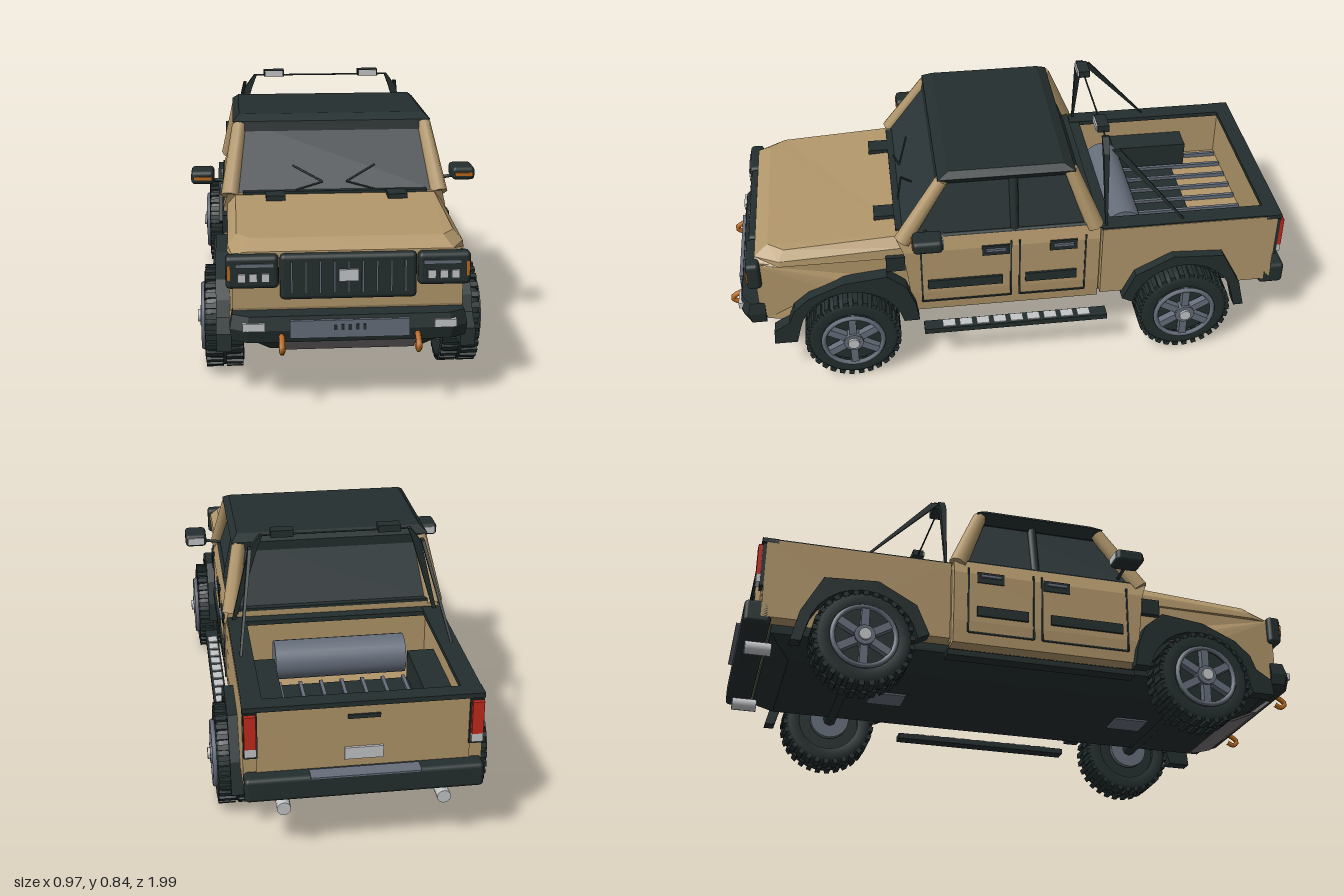
import * as THREE from 'three';
import { RoundedBoxGeometry } from 'three/addons/geometries/RoundedBoxGeometry.js';

const mat = (name, color) => Object.assign(new THREE.MeshStandardMaterial({ color }), { name });
const tan = mat('tanPaint', 0xb2976b), black = mat('blackTrim', 0x242e2e), glass = mat('darkGlass', 0x2b3538),
  steel = mat('blueSteel', 0x666e7b), silver = mat('silver', 0xc4c6c8), orange = mat('orange', 0xb8691f),
  red = mat('redLamp', 0xc42a1d), gun = mat('skidGrey', 0x787476);
const SIDES = [1, -1];

export function createModel() {
  const model = new THREE.Group();
  model.name = 'pickupTruck';
  const add = (name, geo, m, parent = model) => {
    const mesh = new THREE.Mesh(geo, m);
    mesh.name = name;
    parent.add(mesh);
    return mesh;
  };
  // box from its min and max on each axis, and one with rounded corners
  const box = (name, m, x0, x1, y0, y1, z0, z1) => add(name, new THREE.BoxGeometry(Math.abs(x1 - x0), y1 - y0, z1 - z0)
    .translate((x0 + x1) / 2, (y0 + y1) / 2, (z0 + z1) / 2), m);
  const softBox = (name, m, x0, x1, y0, y1, z0, z1) => add(name, new RoundedBoxGeometry(Math.abs(x1 - x0), y1 - y0, z1 - z0, 2, 0.014)
    .translate((x0 + x1) / 2, (y0 + y1) / 2, (z0 + z1) / 2), m);
  // same box on both sides of the truck
  const pair = (name, m, x0, x1, ...rest) => SIDES.forEach(s => box(name, m, s * x0, s * x1, ...rest));
  // closed flat-shaded loft through rings of points
  const loft = (name, m, rings) => {
    const n = rings[0].length, p = rings.flat(), idx = [], last = (rings.length - 1) * n;
    for (let r = 0; r < rings.length - 1; r++) for (let i = 0; i < n; i++) {
      const a = r * n + i, b = r * n + (i + 1) % n;
      idx.push(a, b, b + n, a, b + n, a + n);
    }
    for (let i = 1; i < n - 1; i++) idx.push(0, i + 1, i, last, last + i, last + i + 1);
    let vol = 0;
    for (let i = 0; i < idx.length; i += 3) {
      const [a, b, c] = [0, 1, 2].map(k => new THREE.Vector3(...p[idx[i + k]]));
      vol += a.dot(b.cross(c));
    }
    if (vol < 0) idx.reverse();
    let g = new THREE.BufferGeometry();
    g.setAttribute('position', new THREE.Float32BufferAttribute(p.flat(), 3));
    g.setIndex(idx);
    g = g.toNonIndexed();
    g.computeVertexNormals();
    return add(name, g, m);
  };
  const rect = (y, x, zf, zb, yb = y) => [[x, y, zf], [-x, y, zf], [-x, yb, zb], [x, yb, zb]];
  // side profile of [z, y] points extruded across x
  const profile = (pts, x0, x1) => {
    const shape = new THREE.Shape(pts.map(q => new THREE.Vector2(...q)));
    return new THREE.ExtrudeGeometry(shape, { depth: Math.abs(x1 - x0), bevelEnabled: false })
      .rotateY(-Math.PI / 2).translate(Math.max(x0, x1), 0, 0);
  };
  // wheel arch points, running from the rear foot over to the front foot
  const arch = (zc, r, y0) => {
    const a0 = Math.asin((y0 - 0.167) / r);
    return Array.from({ length: 13 }, (_, i) => {
      const a = Math.PI - a0 - (Math.PI - 2 * a0) * i / 12;
      return [zc + r * Math.cos(a), 0.167 + r * Math.sin(a)];
    });
  };
  // round bar between two points
  const bar = (name, m, a, b, r0, r1 = r0, seg = 8) => {
    const A = new THREE.Vector3(...a), B = new THREE.Vector3(...b), d = B.clone().sub(A);
    const mesh = add(name, new THREE.CylinderGeometry(r1, r0, d.length(), seg), m);
    mesh.position.copy(A).add(B).multiplyScalar(0.5);
    mesh.quaternion.setFromUnitVectors(new THREE.Vector3(0, 1, 0), d.normalize());
    return mesh;
  };
  const FZ = 0.57, RZ = -0.605;

  // front body with wheel arches, narrowing at the nose
  const nose = profile([[-0.28, 0.22], ...arch(FZ, 0.195, 0.22), [0.86, 0.22], [0.885, 0.3], [0.885, 0.46], [-0.28, 0.46]], -0.365, 0.365);
  const np = nose.attributes.position;
  for (let i = 0; i < np.count; i++) if (np.getZ(i) > 0.85) np.setX(i, np.getX(i) * 0.96);
  nose.computeVertexNormals();
  add('frontBody', nose, tan);
  const hoodRing = (x, xf, y, yb, zm, zf) => [[x, yb, 0.36], [x, y, zm], [xf, y, zf], [-xf, y, zf], [-x, y, zm], [-x, yb, 0.36]];
  loft('hood', tan, [hoodRing(0.365, 0.345, 0.455, 0.455, 0.8, 0.885), hoodRing(0.362, 0.32, 0.475, 0.495, 0.8, 0.882),
    hoodRing(0.335, 0.295, 0.505, 0.53, 0.78, 0.835)]);
  box('engineBay', black, -0.31, 0.31, 0.2, 0.45, 0.34, 0.8);
  // sloping underbody
  loft('underbody', black, [rect(0.235, 0.315, 0.87, -0.89), rect(0.2, 0.315, 0.87, -0.89), rect(0.147, 0.235, 0.83, -0.82)]);
  [0.45, -0.45].forEach(z => box('underbodyPlate', steel, -0.05, 0.05, 0.141, 0.148, z - 0.06, z + 0.06));

  // cab
  loft('cabBody', tan, [rect(0.22, 0.37, 0.36, -0.3), rect(0.3, 0.376, 0.36, -0.3), rect(0.48, 0.376, 0.38, -0.3), rect(0.53, 0.362, 0.4, -0.3)]);
  loft('cabGlass', glass, [rect(0.525, 0.352, 0.385, -0.285), rect(0.745, 0.3, 0.235, -0.195)]);
  loft('roof', black, [rect(0.715, 0.312, 0.258, -0.21), rect(0.748, 0.34, 0.252, -0.212), rect(0.768, 0.318, 0.215, -0.175)]);
  box('cowl', black, -0.31, 0.31, 0.525, 0.537, 0.365, 0.4);
  box('rearWindowSill', black, -0.33, 0.33, 0.525, 0.54, -0.3, -0.27);
  for (const s of SIDES) {
    bar('frontPillar', tan, [s * 0.353, 0.52, 0.38], [s * 0.318, 0.735, 0.238], 0.031, 0.024);
    bar('rearPillar', tan, [s * 0.353, 0.52, -0.285], [s * 0.314, 0.74, -0.199], 0.031, 0.024);
    bar('middlePillar', black, [s * 0.348, 0.52, -0.005], [s * 0.302, 0.74, -0.005], 0.016);
    bar('windowSill', black, [s * 0.354, 0.53, 0.35], [s * 0.354, 0.53, -0.26], 0.008);
    bar('wiper', black, [s * 0.14, 0.535, 0.382], [s * 0.04, 0.56, 0.364], 0.003);
    bar('wiper', black, [s * 0.04, 0.56, 0.364], [s * 0.14, 0.61, 0.331], 0.003);
    // mirror
    bar('mirrorArm', black, [s * 0.35, 0.55, 0.3], [s * 0.42, 0.56, 0.3], 0.006);
    softBox('mirror', black, s * 0.405, s * 0.483, 0.552, 0.598, 0.25, 0.35);
    box('mirrorIndicator', orange, s * 0.414, s * 0.474, 0.568, 0.579, 0.346, 0.353);
    box('mirrorGlass', silver, s * 0.415, s * 0.473, 0.562, 0.588, 0.247, 0.252);
  }
  // doors
  const doors = [[0.01, 0.32, 0.04, 0.3], [-0.25, -0.02, -0.22, -0.04]];
  for (const [z0, z1, m0, m1] of doors) {
    for (const z of [z0, z1]) pair('doorGap', black, 0.373, 0.379, 0.26, 0.5, z - 0.003, z + 0.003);
    pair('doorBottomGap', black, 0.37, 0.377, 0.257, 0.263, z0, z1);
    pair('doorMoulding', black, 0.373, 0.384, 0.32, 0.356, m0, m1);
    const h = z0 > 0 ? 0.015 : -0.22;
    pair('handleRecess', black, 0.373, 0.38, 0.447, 0.487, h, h + 0.095);
    pair('doorHandle', steel, 0.38, 0.388, 0.466, 0.476, h + 0.012, h + 0.083);
  }
  pair('fenderVent', black, 0.36, 0.38, 0.41, 0.468, 0.375, 0.44);
  pair('hoodHinge', black, 0.17, 0.235, 0.515, 0.54, 0.4, 0.47);

  // load bed
  const slice = (x, y, z, w, d) => [[x - w, y, z - d], [x + w, y, z - d], [x + w, y, z + d], [x - w, y, z + d]];
  for (const s of SIDES) {
    add('bedSide', profile([[-0.93, 0.23], ...arch(RZ, 0.195, 0.23), [-0.31, 0.23], [-0.31, 0.51], [-0.93, 0.51]], s * 0.315, s * 0.37), tan);
    box('bedRail', black, s * 0.305, s * 0.368, 0.499, 0.515, -0.935, -0.31);
    box('wheelTub', black, s * 0.225, s * 0.315, 0.32, 0.43, -0.75, -0.47);
    // tail lamps
    box('lampFrame', black, s * 0.325, s * 0.368, 0.34, 0.495, -0.942, -0.92);
    box('tailLamp', red, s * 0.33, s * 0.366, 0.38, 0.49, -0.956, -0.94);
    box('reverseLamp', silver, s * 0.33, s * 0.366, 0.352, 0.38, -0.955, -0.94);
    // bed struts and spotlights
    loft('lightBarPost', black, [slice(s * 0.35, 0.5, -0.325, 0.006, 0.003), slice(s * 0.277, 0.77, -0.325, 0.014, 0.01), slice(s * 0.25, 0.818, -0.325, 0.005, 0.012)]);
    loft('lightBarBrace', black, [slice(s * 0.345, 0.51, -0.6, 0.004, 0.004), slice(s * 0.29, 0.785, -0.357, 0.006, 0.014)]);
    box('spotlight', black, s * 0.142, s * 0.218, 0.812, 0.836, -0.345, -0.305);
    box('spotlightLens', silver, s * 0.147, s * 0.213, 0.815, 0.834, -0.306, -0.3);
  }
  bar('lightBar', black, [-0.25, 0.816, -0.325], [0.25, 0.816, -0.325], 0.003);
  box('bedFloor', tan, -0.315, 0.315, 0.235, 0.33, -0.9, -0.31);
  box('bedMat', black, -0.225, 0.225, 0.33, 0.334, -0.7, -0.48);
  for (let i = -4; i <= 4; i++) box('floorRib', steel, i * 0.07 - 0.006, i * 0.07 + 0.006, 0.33, 0.345, -0.89, -0.48);
  box('bedFront', tan, -0.34, 0.34, 0.23, 0.5, -0.33, -0.3);
  box('bedFrontRail', black, -0.34, 0.34, 0.497, 0.513, -0.345, -0.305);
  bar('tank', steel, [-0.22, 0.4, -0.42], [0.22, 0.4, -0.42], 0.066, 0.066, 24);
  box('tailgate', tan, -0.33, 0.33, 0.25, 0.5, -0.935, -0.895);
  box('tailgateRail', black, -0.37, 0.37, 0.499, 0.515, -0.945, -0.89);
  box('tailgateHandle', black, -0.05, 0.05, 0.455, 0.468, -0.942, -0.934);
  box('rearPlate', silver, -0.06, 0.06, 0.315, 0.355, -0.943, -0.934);
  softBox('rearBumper', black, -0.37, 0.37, 0.207, 0.287, -0.983, -0.895);
  box('bumperStep', steel, -0.17, 0.17, 0.283, 0.29, -0.995, -0.945);
  SIDES.forEach(s => bar('exhaustTip', silver, [s * 0.25, 0.168, -0.88], [s * 0.25, 0.168, -0.965], 0.022, 0.022, 12));

  // nose details
  const bumperRing = (y, x, zf) => [[x, y, 0.865], [x, y, zf - 0.03], [x - 0.05, y, zf], [0.05 - x, y, zf], [-x, y, zf - 0.03], [-x, y, 0.865]];
  loft('frontBumper', black, [bumperRing(0.21, 0.355, 0.945), bumperRing(0.25, 0.36, 0.955), bumperRing(0.292, 0.352, 0.945)]);
  box('bumperPanel', steel, -0.18, 0.18, 0.226, 0.281, 0.945, 0.959);
  for (let i = -2; i <= 2; i++) box('bumperSlot', black, i * 0.022 - 0.005, i * 0.022 + 0.005, 0.25, 0.268, 0.957, 0.961);
  pair('fogLamp', silver, 0.255, 0.322, 0.25, 0.274, 0.93, 0.958);
  softBox('grille', black, -0.207, 0.207, 0.328, 0.47, 0.87, 0.907);
  for (let i = -4; i <= 4; i++) box('grilleBar', steel, i * 0.043 - 0.003, i * 0.043 + 0.003, 0.35, 0.45, 0.9, 0.912);
  box('grillePlate', silver, -0.03, 0.03, 0.388, 0.424, 0.905, 0.916);
  loft('skidPlate', gun, [rect(0.208, 0.205, 0.935, 0.915), rect(0.157, 0.205, 0.87, 0.85), rect(0.127, 0.175, 0.79, 0.77)]);
  for (const s of SIDES) {
    softBox('headlampHousing', black, s * 0.21, s * 0.37, 0.368, 0.47, 0.865, 0.914);
    box('headlampStrip', steel, s * 0.225, s * 0.34, 0.436, 0.448, 0.912, 0.919);
    for (const x of [0.25, 0.287, 0.322]) box('headlamp', silver, s * (x - 0.012), s * (x + 0.012), 0.392, 0.417, 0.912, 0.921);
    box('sideMarker', orange, s * 0.356, s * 0.366, 0.397, 0.442, 0.908, 0.915);
    // tow hook
    const hook = new THREE.CatmullRomCurve3([[0.94, 0.235], [0.965, 0.225], [0.99, 0.205], [0.975, 0.188], [0.95, 0.198]]
      .map(([z, y]) => new THREE.Vector3(s * 0.205, y, z)));
    add('towHook', new THREE.TubeGeometry(hook, 12, 0.009, 6), orange);
  }

  // flares and side steps
  const frontFlare = [[0.845, 0.145], [0.84, 0.2], [0.785, 0.235], [0.765, 0.285], [0.71, 0.335], [0.59, 0.388], [0.44, 0.405], [0.375, 0.35], [0.345, 0.27], [0.335, 0.2]];
  const rearFlare = [[-0.835, 0.145], [-0.81, 0.25], [-0.74, 0.38], [-0.56, 0.39], [-0.43, 0.32], [-0.385, 0.22]];
  for (const s of SIDES) {
    add('frontFlare', profile([...frontFlare, ...arch(FZ, 0.184, 0.2), [0.765, 0.145]], s * 0.355, s * 0.402), black);
    add('rearFlare', profile([...rearFlare, ...arch(RZ, 0.184, 0.2).reverse(), [-0.8, 0.145]], s * 0.355, s * 0.402), black);
    box('sideStep', black, s * 0.375, s * 0.422, 0.148, 0.168, -0.33, 0.32);
    for (let i = 0; i < 9; i++) box('stepTread', silver, s * 0.38, s * 0.415, 0.168, 0.172, -0.27 + i * 0.06, -0.225 + i * 0.06);
  }

  // wheels, built about the x axis
  const tyreProfile = [[0.108, -0.055], [0.145, -0.062], [0.158, -0.05], [0.16, 0], [0.158, 0.05], [0.145, 0.062], [0.108, 0.055]].map(q => new THREE.Vector2(...q));
  const tyre = new THREE.LatheGeometry(tyreProfile, 36).rotateZ(-Math.PI / 2);
  const disc = (r, w, x) => new THREE.CylinderGeometry(r, r, w, 24).rotateZ(Math.PI / 2).translate(x, 0, 0);
  black.side = THREE.DoubleSide;
  for (const z of [FZ, RZ]) {
    for (const s of SIDES) {
      const wheel = new THREE.Group();
      wheel.name = 'wheel';
      wheel.position.set(s * 0.378, 0.167, z);
      model.add(wheel);
      add('tyre', tyre, black, wheel);
      for (let i = 0; i < 60; i++) {
        const row = i % 2 ? 1 : -1;
        const knob = add('treadBlock', new THREE.BoxGeometry(0.054, 0.016, 0.018).translate(row * 0.032, 0.1585, 0), black, wheel);
        knob.rotation.x = i * Math.PI / 30;
      }
      add('rimBack', disc(0.109, 0.08, 0), black, wheel);
      add('rimRing', new THREE.TorusGeometry(0.103, 0.009, 6, 30).rotateY(Math.PI / 2).translate(s * 0.066, 0, 0), steel, wheel);
      for (let i = 0; i < 6; i++) {
        const spoke = add('spoke', new THREE.BoxGeometry(0.026, 0.09, 0.026).translate(s * 0.057, 0.06, 0), steel, wheel);
        spoke.rotation.x = i * Math.PI / 3;
      }
      add('hub', disc(0.034, 0.036, s * 0.06), steel, wheel);
      add('hubCap', disc(0.02, 0.012, s * 0.08), silver, wheel);
      add('brakeDisc', disc(0.07, 0.02, s * -0.065), steel, wheel);
    }
    bar('axle', black, [-0.32, 0.165, z], [0.32, 0.165, z], 0.024);
  }
  return model;
}
